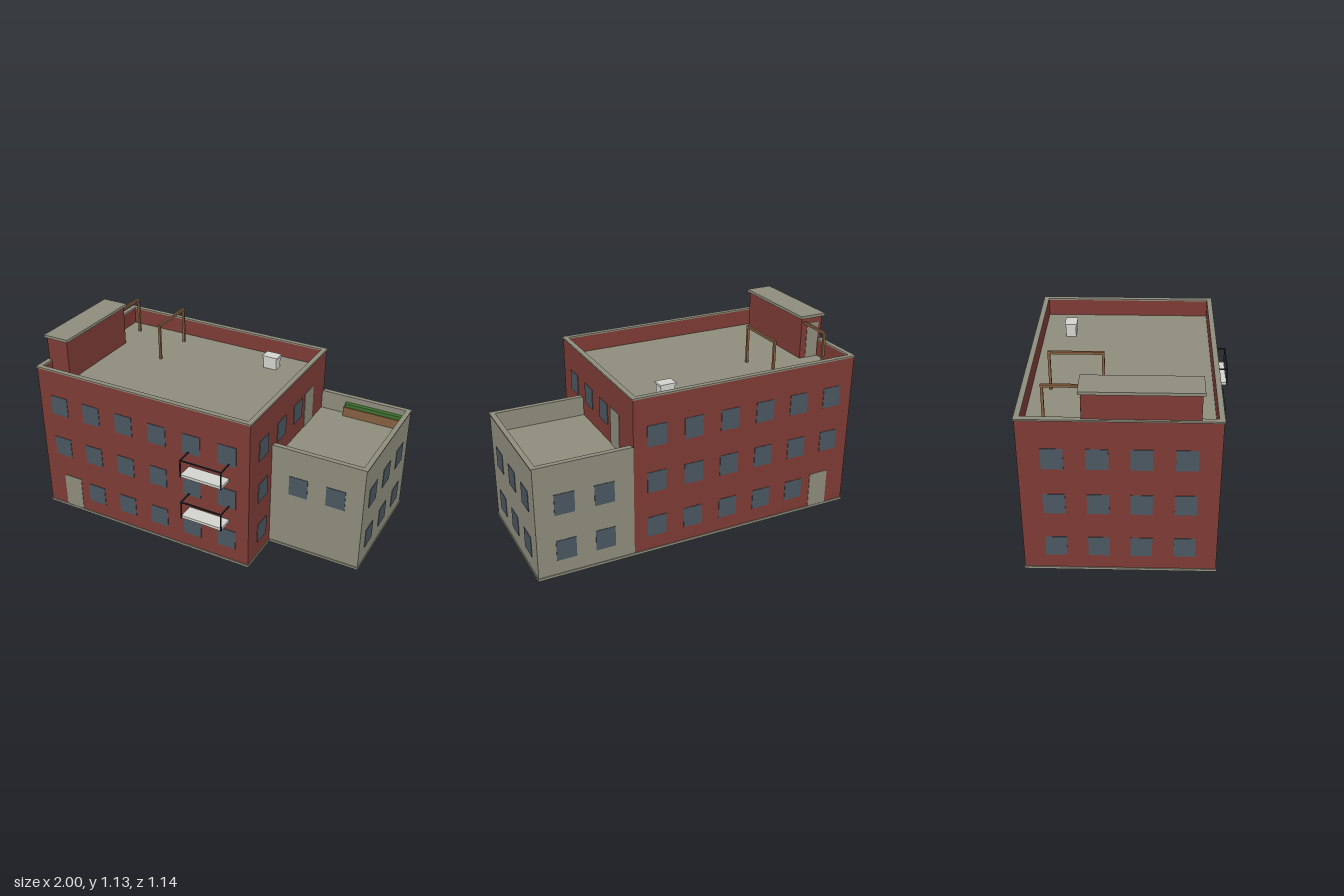
import * as THREE from 'three';

const mat = (name, color) => {
  const m = new THREE.MeshStandardMaterial({ color });
  m.name = name;
  return m;
};

export function createModel() {
  const brick = mat('brick red', 0x7d3b35);
  const stone = mat('grey stone', 0x8e8c7c);
  const glass = mat('window slate', 0x4b5760);
  const white = mat('pale concrete', 0xd2d2ce);
  const iron = mat('dark iron', 0x23282b);
  const wood = mat('brown wood', 0x86603f);
  const green = mat('hedge green', 0x3f7030);

  const model = new THREE.Group();
  model.name = 'building';

  const group = (name, parent = model) => {
    const g = new THREE.Group();
    g.name = name;
    parent.add(g);
    return g;
  };
  // Box given by its extents on each axis
  const box = (name, m, [x0, x1], [y0, y1], [z0, z1], parent = model) => {
    const mesh = new THREE.Mesh(new THREE.BoxGeometry(x1 - x0, y1 - y0, z1 - z0), m);
    mesh.position.set((x0 + x1) / 2, (y0 + y1) / 2, (z0 + z1) / 2);
    mesh.name = name;
    parent.add(mesh);
    return mesh;
  };
  // Wall strips around a rectangle; the +x and -x sides are optional
  const ring = (name, m, [x0, x1], y, [z0, z1], t, left = true, right = true) => {
    const g = group(name);
    box(name + 'Front', m, [x0, x1], y, [z1 - t, z1], g);
    box(name + 'Back', m, [x0, x1], y, [z0, z0 + t], g);
    if (left) box(name + 'Left', m, [x1 - t, x1], y, [z0 + t, z1 - t], g);
    if (right) box(name + 'Right', m, [x0, x0 + t], y, [z0 + t, z1 - t], g);
  };

  // Main block
  const MX = [-0.995, 0.425], MZ = [-0.567, 0.472], mainDeck = 0.86;
  box('mainBody', brick, MX, [0.015, mainDeck - 0.01], MZ);
  box('mainDeck', stone, [-0.97, 0.4], [mainDeck - 0.01, mainDeck], [-0.542, 0.447]);
  ring('mainParapet', brick, MX, [mainDeck - 0.01, 0.961], MZ, 0.025);
  ring('mainCoping', stone, [-1, 0.43], [0.961, 0.97], [-0.572, 0.477], 0.03);
  box('mainPlinth', stone, [-1, 0.43], [0, 0.015], [-0.572, 0.477]);

  // Lower annex
  const AX = [0.425, 0.995], AZ = [-0.567, 0.188], annexDeck = 0.57;
  box('annexBody', stone, AX, [0.015, annexDeck], AZ);
  ring('annexParapet', stone, AX, [annexDeck, 0.682], AZ, 0.025, true, false);
  ring('annexCoping', stone, [0.43, 1], [0.682, 0.69], [-0.572, 0.193], 0.03, true, false);
  box('annexPlinth', stone, [0.43, 1], [0, 0.015], [-0.572, 0.193]);

  // Windows and doors: thin plates set on the walls
  const openings = group('openings');
  const T = 0.003, W = 0.058;
  const plateZ = (name, m, x, y, z, w = W) =>
    box(name, m, [x - w, x + w], y, [z - T, z + T], openings);
  const plateX = (name, m, x, y, z, w = W) =>
    box(name, m, [x - T, x + T], y, [z - w, z + w], openings);
  const floors = [0, 1, 2].map((f) => [0.101 + f * 0.284, 0.225 + f * 0.285]);
  const mainCols = [0, 1, 2, 3, 4, 5].map((i) => -0.855 + i * 0.228);
  const sideCols = [0.298, 0.067, -0.16, -0.39];

  floors.forEach((y, f) => {
    for (const z of MZ) {
      mainCols.forEach((x, i) => {
        if (f > 0 || i > 0) plateZ('window', glass, x, y, z);
      });
    }
    sideCols.forEach((z, i) => {
      plateX('window', glass, MX[0], y, z);
      if (i === 0 || (f === 2 && i < 3)) plateX('window', glass, MX[1], y, z);
    });
    if (f < 2) {
      for (const z of [0.04, -0.188, -0.415]) plateX('window', glass, AX[1], y, z);
      for (const x of [0.598, 0.828]) {
        plateZ('window', glass, x, y, AZ[0]);
        if (f === 1) plateZ('window', glass, x, y, AZ[1]);
      }
    }
  });
  for (const z of MZ) plateZ('entranceDoor', stone, -0.808, [0.015, 0.237], z, 0.062);
  plateX('terraceDoor', stone, MX[1], [annexDeck, 0.8], -0.321, 0.061);

  // Balconies with thin rails
  for (const y of [0.283, 0.567]) {
    const g = group('balcony');
    const r = 0.007, top = y + 0.116;
    box('slab', white, [0.04, 0.3], [y, y + 0.017], [0.472, 0.567], g);
    box('frontRail', iron, [0.037, 0.303], [top - r, top], [0.565, 0.572], g);
    for (const x of [0.037, 0.296]) {
      box('sideRail', iron, [x, x + r], [top - r, top], [0.472, 0.565], g);
      box('railPost', iron, [x, x + r], [y, top - r], [0.565, 0.572], g);
    }
  }

  // Stair house on the roof
  const hut = group('stairHouse');
  box('stairHouseWalls', brick, [-0.988, -0.845], [mainDeck, 1.115], [-0.235, 0.362], hut);
  box('stairHouseRoof', stone, [-1, -0.832], [1.115, 1.132], [-0.248, 0.374], hut);
  box('stairHouseDoor', stone, [-0.965, -0.885], [mainDeck, 1.08], [-0.238, -0.232], hut);

  // Wooden frames on the roof
  for (const x of [-0.522, -0.866]) {
    const g = group('roofFrame');
    const xs = [x - 0.007, x + 0.007];
    box('frameBeam', wood, xs, [1.079, 1.094], [-0.444, -0.141], g);
    for (const z of [-0.437, -0.148]) {
      box('framePost', wood, xs, [mainDeck, 1.079], [z - 0.007, z + 0.007], g);
    }
  }

  // Roof vent
  box('ventBody', white, [0.1, 0.185], [mainDeck, 0.93], [-0.41, -0.35]);
  box('ventLid', white, [0.094, 0.191], [0.93, 0.942], [-0.416, -0.344]);

  // Planter on the annex terrace
  box('planterBox', wood, [0.585, 0.966], [annexDeck, 0.632], [-0.542, -0.502]);
  box('planterHedge', green, [0.592, 0.959], [0.632, 0.655], [-0.537, -0.509]);

  return model;
}
